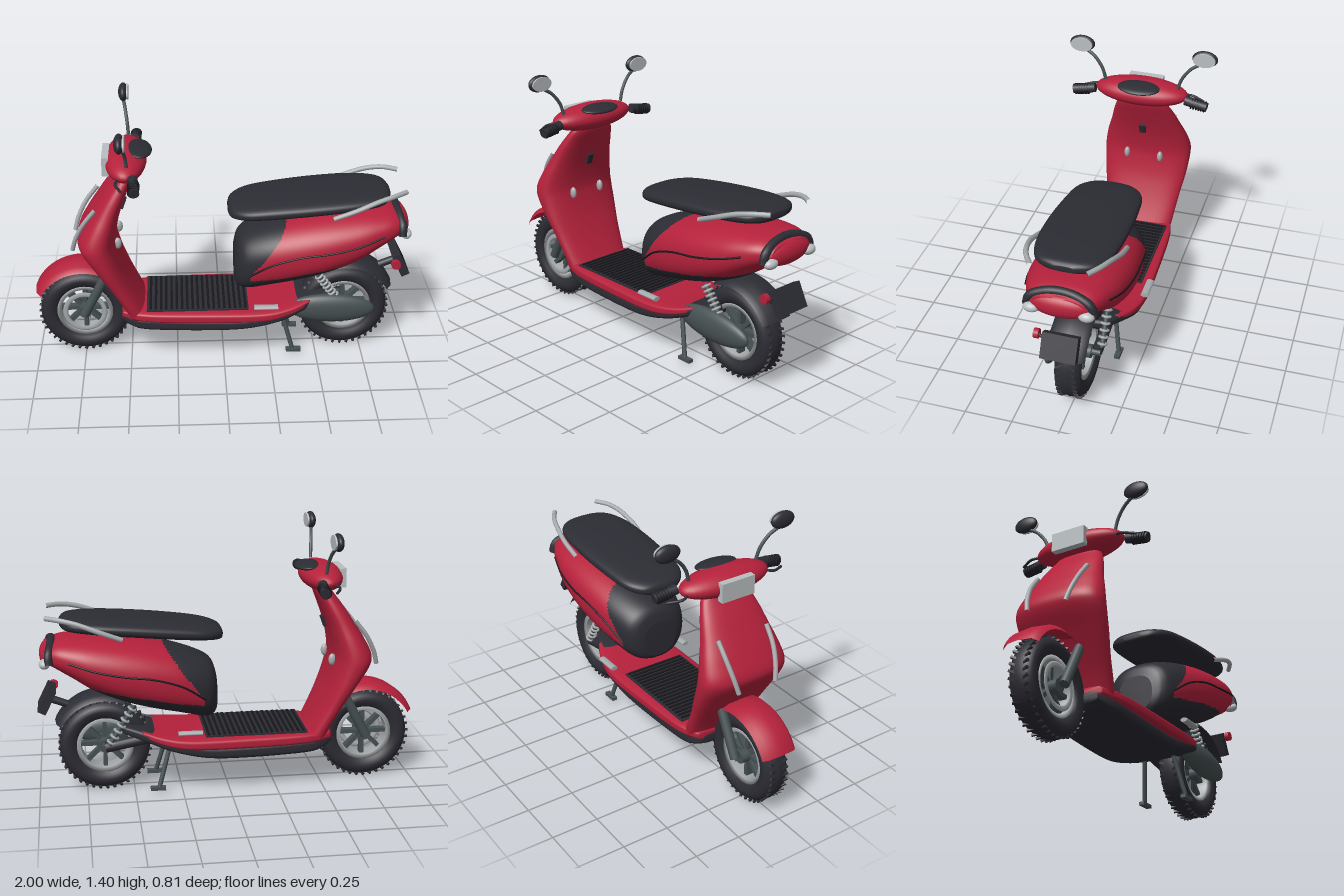
import * as THREE from 'three';

const mat = (name, color, side = THREE.FrontSide) => {
  const m = new THREE.MeshStandardMaterial({ color, side });
  m.name = name;
  return m;
};
const V = (x, y, z) => new THREE.Vector3(x, y, z);

// Smoothly interpolated station [position, low, high, halfWidth] at index u
function station(st, u) {
  const i = Math.min(Math.floor(u), st.length - 2), t = u - i;
  const at = k => st[Math.max(0, Math.min(st.length - 1, k))];
  return st[0].map((_, c) => {
    const a = at(i - 1)[c], b = at(i)[c], d = at(i + 1)[c], e = at(i + 2)[c];
    return b + 0.5 * t * (d - a + t * (2 * a - 5 * b + 4 * d - e + t * (3 * (b - d) + e - a)));
  });
}

// Closed superellipse loft along 'x' or 'y'; pick(x, y) chooses the second material
function loft(st, axis, n, rows, cols, pick = () => false) {
  const pos = [], idx = [[], []];
  const put = (p, q, z) => axis === 'x' ? pos.push(p, q, z) : pos.push(q, p, -z);
  for (let i = 0; i <= rows; i++) {
    const [p, lo, hi, w] = station(st, i / rows * (st.length - 1));
    for (let j = 0; j < cols; j++) {
      const a = j / cols * Math.PI * 2, c = Math.cos(a), s = Math.sin(a);
      const k = 1 / Math.pow(Math.abs(c) ** n + Math.abs(s) ** n, 1 / n);
      put(p, (lo + hi) / 2 + c * k * (hi - lo) / 2, s * k * w);
    }
  }
  const caps = [st[0], st[st.length - 1]].map(([p, lo, hi]) => {
    put(p, (lo + hi) / 2, 0);
    return pos.length / 3 - 1;
  });
  const tri = (...t) => {
    const avg = c => t.reduce((s, v) => s + pos[v * 3 + c], 0) / 3;
    idx[pick(avg(0), avg(1)) ? 1 : 0].push(...t);
  };
  for (let j = 0; j < cols; j++) {
    const k = (j + 1) % cols;
    for (let i = 0; i < rows; i++) {
      const a = i * cols + j, b = i * cols + k;
      tri(a, b, a + cols);
      tri(b, b + cols, a + cols);
    }
    tri(caps[0], k, j);
    tri(caps[1], rows * cols + j, rows * cols + k);
  }
  const g = new THREE.BufferGeometry();
  g.setAttribute('position', new THREE.Float32BufferAttribute(pos, 3));
  g.setIndex([...idx[0], ...idx[1]]);
  g.addGroup(0, idx[0].length, 0);
  g.addGroup(idx[0].length, idx[1].length, 1);
  g.computeVertexNormals();
  return g;
}

export function createModel() {
  const model = new THREE.Group();
  model.name = 'scooter';
  const red = mat('red paint', 0xb5213b, THREE.DoubleSide);
  const dark = mat('dark rubber and plastic', 0x2c2c34, THREE.DoubleSide);
  const black = mat('black trim', 0x18181c);
  const silver = mat('silver metal', 0xa6aaac);
  const gun = mat('gunmetal', 0x465052);
  const lens = mat('pale lens', 0xb9bfc1);

  const add = (name, geo, m, p = [0, 0, 0], r = [0, 0, 0], parent = model) => {
    const o = new THREE.Mesh(geo, m);
    o.name = name;
    o.position.set(...p);
    o.rotation.set(...r);
    parent.add(o);
    return o;
  };
  const box = (name, s, m, p, r, parent) => add(name, new THREE.BoxGeometry(...s), m, p, r, parent);
  const egg = (name, s, m, p, r) => add(name, new THREE.SphereGeometry(1, 40, 24).scale(...s), m, p, r);
  const tube = (name, pts, r, m) =>
    add(name, new THREE.TubeGeometry(new THREE.CatmullRomCurve3(pts.map(p => V(...p))), 32, r, 10), m);
  const rod = (name, a, b, r, m) => {
    const A = V(...a), B = V(...b), d = B.clone().sub(A);
    const o = add(name, new THREE.CylinderGeometry(r, r, d.length(), 16), m, A.add(B).multiplyScalar(0.5).toArray());
    o.quaternion.setFromUnitVectors(V(0, 1, 0), d.normalize());
    return o;
  };
  const lathe = (pts, start = 0, sweep = Math.PI * 2) =>
    new THREE.LatheGeometry(pts.map(p => new THREE.Vector2(...p)), 64, start, sweep).rotateX(Math.PI / 2);

  // Wheels: tyre, tread, rim, spokes, hub
  const tyre = [[0.145, -0.045], [0.165, -0.06], [0.19, -0.069], [0.215, -0.064], [0.235, -0.042], [0.241, 0],
    [0.235, 0.042], [0.215, 0.064], [0.19, 0.069], [0.165, 0.06], [0.145, 0.045], [0.145, -0.045]];
  const rim = [[0.128, -0.045], [0.15, -0.05], [0.15, 0.05], [0.128, 0.045], [0.128, -0.045]];
  const wheel = (name, x) => {
    const w = new THREE.Group();
    w.name = name;
    w.position.set(x, 0.248, 0);
    model.add(w);
    add('tyre', lathe(tyre), dark, undefined, undefined, w);
    add('rim', lathe(rim), silver, undefined, undefined, w).material = silver;
    add('hub', new THREE.CylinderGeometry(0.035, 0.035, 0.13, 24), gun, [0, 0, 0], [Math.PI / 2, 0, 0], w);
    for (let i = 0; i < 8; i++) {
      const a = i * Math.PI / 4;
      box('spoke', [0.105, 0.022, 0.04], gun, [Math.cos(a) * 0.08, Math.sin(a) * 0.08, 0], [0, 0, a], w);
    }
    for (let i = 0; i < 40; i++) for (const s of [-1, 1]) {
      const t = new THREE.Group();
      t.name = 'treadBlock';
      t.rotation.z = i * Math.PI / 20;
      w.add(t);
      box('tread', [0.012, 0.012, 0.045], dark, [0.234, 0, s * 0.032], [s * 0.4, s * 0.3, 0], t);
    }
    return w;
  };
  const front = wheel('frontWheel', -0.745);
  wheel('rearWheel', 0.65);
  add('brakeDisc', new THREE.TorusGeometry(0.105, 0.014, 6, 48).scale(1, 1, 0.35), silver, [0, 0, 0.058], undefined, front);

  // Fenders
  const crown = r => [[r - 0.035, -0.1], [r - 0.008, -0.075], [r, 0], [r - 0.008, 0.075], [r - 0.035, 0.1]];
  add('frontFender', lathe(crown(0.292), 2.65, 1.57), red, [-0.745, 0.25, 0]);
  add('rearFender', lathe(crown(0.292), 2.06, 1.5), dark, [0.65, 0.25, 0]);

  // Leg shield
  add('legShield', loft([
    [0.26, -0.52, -0.39, 0.185], [0.36, -0.565, -0.445, 0.2], [0.455, -0.62, -0.49, 0.215], [0.56, -0.685, -0.53, 0.235],
    [0.66, -0.75, -0.553, 0.245], [0.72, -0.76, -0.557, 0.242], [0.8, -0.72, -0.545, 0.222], [0.88, -0.67, -0.523, 0.195],
    [0.97, -0.61, -0.49, 0.168], [1.05, -0.55, -0.46, 0.135], [1.09, -0.53, -0.46, 0.1]], 'y', 2.5, 50, 48), red);
  box('keyPanel', [0.03, 0.06, 0.035], dark, [-0.525, 0.875, 0], [0, 0, -0.35]);

  // Floor: red deck, dark belly, ribbed mat
  add('deck', loft([[-0.54, 0.265, 0.31, 0.16], [-0.4, 0.25, 0.315, 0.205], [-0.1, 0.245, 0.315, 0.222],
    [0.2, 0.25, 0.315, 0.226], [0.35, 0.275, 0.328, 0.2], [0.46, 0.315, 0.35, 0.15]], 'x', 5, 30, 48), red);
  add('belly', loft([[-0.545, 0.235, 0.285, 0.14], [-0.49, 0.205, 0.285, 0.17], [-0.4, 0.188, 0.28, 0.19],
    [-0.1, 0.18, 0.27, 0.2], [0.12, 0.19, 0.27, 0.205], [0.3, 0.235, 0.3, 0.205], [0.42, 0.275, 0.345, 0.17],
    [0.56, 0.32, 0.37, 0.1]], 'x', 4, 32, 48), dark);
  box('floorMat', [0.54, 0.008, 0.36], dark, [-0.14, 0.316, 0]);
  for (let i = 0; i < 19; i++) box('matRib', [0.013, 0.012, 0.34], black, [-0.39 + i * 0.028, 0.32, 0]);

  // Tail body: red upper panels with dark front and underside
  const tail = [[0.06, 0.42, 0.62, 0.1], [0.08, 0.397, 0.68, 0.15], [0.13, 0.39, 0.72, 0.19], [0.25, 0.42, 0.765, 0.225],
    [0.4, 0.455, 0.803, 0.245], [0.55, 0.5, 0.828, 0.25], [0.7, 0.565, 0.843, 0.237], [0.8, 0.63, 0.845, 0.212],
    [0.88, 0.68, 0.838, 0.18], [0.95, 0.72, 0.81, 0.13]];
  const isDark = (x, y) => x < 0.14 + Math.max(0, y - 0.53) * 0.75 || y < 0.5 + (x - 0.2) * 0.2;
  add('tailBody', loft(tail, 'x', 2.4, 108, 88, isDark), [red, dark]);
  const trim = [[2, -0.2], [3, 0.08], [4, 0.17], [5, 0.1], [6, 0.05], [7.3, 0.03]].map(([u, f]) => {
    const [x, lo, hi, w] = station(tail, u);
    return [x, (lo + hi) / 2 + f * (hi - lo) / 2, w + 0.003];
  });

  // Tail light, arch and number plate
  tube('tailArch', [[0.925, 0.73, 0.165], [0.925, 0.78, 0.15], [0.915, 0.815, 0.08], [0.91, 0.825, 0],
    [0.915, 0.815, -0.08], [0.925, 0.78, -0.15], [0.925, 0.73, -0.165]], 0.022, dark);
  egg('tailLight', [0.045, 0.062, 0.15], red, [0.93, 0.755, 0]);
  box('numberPlate', [0.045, 0.13, 0.18], dark, [0.945, 0.51, 0], [0, 0, 0.46]);
  rod('plateBracket', [0.84, 0.47, 0], [0.94, 0.51, 0], 0.02, dark);
  rod('reflector', [0.91, 0.54, 0.115], [0.91, 0.54, 0.14], 0.025, red);
  rod('reflectorStem', [0.93, 0.53, 0.08], [0.91, 0.54, 0.12], 0.008, dark);

  // Seat
  add('seat', loft([[0.025, 0.825, 0.85, 0.05], [0.045, 0.812, 0.875, 0.115], [0.12, 0.816, 0.897, 0.172],
    [0.25, 0.826, 0.917, 0.193], [0.45, 0.846, 0.937, 0.205], [0.65, 0.866, 0.951, 0.2], [0.78, 0.879, 0.954, 0.172],
    [0.84, 0.888, 0.95, 0.125], [0.867, 0.905, 0.935, 0.05]], 'x', 2.7, 48, 48), dark);

  // Handlebar head
  egg('handlebarCowl', [0.107, 0.07, 0.255], red, [-0.495, 1.125, 0]);
  egg('instrumentPanel', [0.065, 0.018, 0.115], dark, [-0.425, 1.178, 0], [0, 0, -0.12]);
  box('headlight', [0.035, 0.1, 0.19], lens, [-0.597, 1.12, 0]);

  // Drive cover and swing arm
  egg('driveCover', [0.235, 0.083, 0.045], gun, [0.575, 0.28, 0.125], [0, 0, -0.04]);
  rod('swingArm', [0.38, 0.3, -0.09], [0.65, 0.25, -0.09], 0.028, dark);
  rod('rearAxle', [0.65, 0.25, -0.11], [0.65, 0.25, 0.11], 0.018, gun);

  // Paired parts
  for (const s of [-1, 1]) {
    rod('grip', [-0.455, 1.125, s * 0.25], [-0.445, 1.105, s * 0.37], 0.026, dark);
    for (let i = 0; i < 6; i++)
      rod('gripRib', [-0.45, 1.115 - i * 0.002, s * (0.285 + i * 0.014)], [-0.45, 1.114 - i * 0.002, s * (0.291 + i * 0.014)], 0.03, black);
    tube('brakeLever', [[-0.52, 1.12, s * 0.22], [-0.54, 1.11, s * 0.27], [-0.51, 1.1, s * 0.34]], 0.007, dark);
    tube('mirrorStem', [[-0.485, 1.17, s * 0.2], [-0.49, 1.23, s * 0.22], [-0.5, 1.29, s * 0.265], [-0.51, 1.325, s * 0.32]], 0.009, gun);
    egg('mirrorShell', [0.026, 0.045, 0.069], dark, [-0.51, 1.355, s * 0.336]);
    add('mirrorGlass', new THREE.CylinderGeometry(1, 1, 1, 40).rotateZ(Math.PI / 2).scale(0.009, 0.038, 0.06), lens, [-0.488, 1.355, s * 0.336]);
    rod('frontFork', [-0.745, 0.25, s * 0.09], [-0.6, 0.53, s * 0.09], 0.025, gun);
    tube('shieldBar', [[-0.655, 0.905, s * 0.145], [-0.72, 0.82, s * 0.14], [-0.765, 0.73, s * 0.125], [-0.785, 0.66, s * 0.11]], 0.012, silver);
    egg('bagHook', [0.02, 0.032, 0.016], silver, [-0.55, 0.685, s * 0.095]);
    tube('grabRail', [[0.555, 0.865, s * 0.218], [0.67, 0.91, s * 0.222], [0.78, 0.95, s * 0.205], [0.86, 0.966, s * 0.18], [0.935, 0.97, s * 0.135]], 0.013, silver);
    rod('footPeg', [0.155, 0.36, s * 0.235], [0.28, 0.36, s * 0.235], 0.012, silver).scale.z = 1.7;
    tube('bodyTrim', trim.map(([x, y, z]) => [x, y, s * z]), 0.005, black);
    egg('indicator', [0.028, 0.026, 0.04], lens, [0.947, 0.732, s * 0.135]);
    rod('standLeg', [0.31, 0.25, s * 0.085], [0.375, 0.02, s * 0.125], 0.012, gun);
    box('standFoot', [0.08, 0.018, 0.03], gun, [0.38, 0.02, s * 0.125]);

    // Shock absorber with coil rings
    const top = V(0.5, 0.48, s * 0.11), low = s > 0 ? V(0.6, 0.34, 0.11) : V(0.63, 0.27, -0.11);
    rod('shockCore', top.toArray(), low.toArray(), 0.013, gun);
    const dir = low.clone().sub(top).normalize();
    for (let i = 0; i < 7; i++) {
      const o = add('springCoil', new THREE.TorusGeometry(0.02, 0.007, 8, 20), silver, top.clone().lerp(low, (i + 0.5) / 7).toArray());
      o.quaternion.setFromUnitVectors(V(0, 0, 1), dir);
    }
  }
  return model;
}
